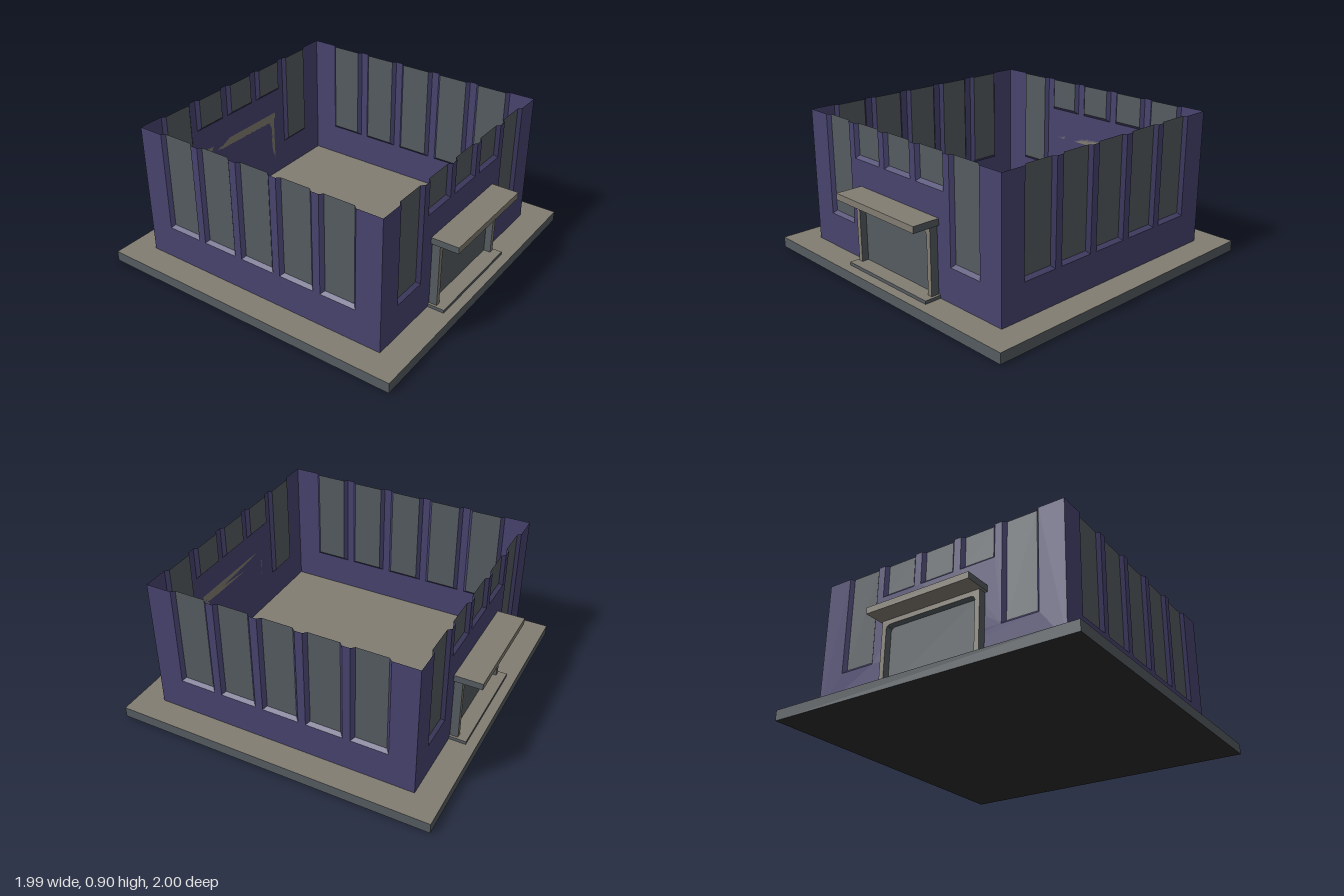
import * as THREE from 'three';

const mat = (name, color, side = THREE.FrontSide) => {
  const m = new THREE.MeshStandardMaterial({ color, side });
  m.name = name;
  return m;
};

export function createModel() {
  const blue = mat('blue wall', 0x48446f, THREE.DoubleSide);
  const grey = mat('grey panel', 0x555c61, THREE.DoubleSide);
  const tan = mat('tan stone', 0x827d72);
  const black = mat('dark underside', 0x2c2c2c);

  const HALF = 0.83, BASE = 0.065, TOP = 0.9, INSET = 0.02, WIN = 0.115;
  const centres = [-0.555, -0.2775, 0, 0.2775, 0.555];

  const add = (parent, name, geo, material, x = 0, y = 0, z = 0) => {
    const m = new THREE.Mesh(geo, material);
    m.name = name;
    m.position.set(x, y, z);
    parent.add(m);
    return m;
  };

  // Splayed left, bottom and right reveals of one window, open at the top
  const revealGeometry = (c, sill) => {
    const o = [[c - WIN, TOP], [c - WIN, sill], [c + WIN, sill], [c + WIN, TOP]];
    const w = WIN - INSET, s = sill + INSET;
    const n = [[c - w, TOP], [c - w, s], [c + w, s], [c + w, TOP]];
    const pos = [];
    for (let i = 0; i < 3; i++) {
      const a = [...o[i], 0], b = [...o[i + 1], 0];
      const d = [...n[i + 1], -INSET], e = [...n[i], -INSET];
      pos.push(...a, ...b, ...d, ...a, ...d, ...e);
    }
    const g = new THREE.BufferGeometry();
    g.setAttribute('position', new THREE.Float32BufferAttribute(pos, 3));
    g.computeVertexNormals();
    return g;
  };

  // One wall sheet with five notched windows; sills give each window's bottom
  const makeWall = (name, sills) => {
    const wall = new THREE.Group();
    wall.name = name;
    const s = new THREE.Shape();
    s.moveTo(-HALF, TOP);
    s.lineTo(-HALF, BASE);
    s.lineTo(HALF, BASE);
    s.lineTo(HALF, TOP);
    for (let i = 4; i >= 0; i--) {
      const c = centres[i];
      s.lineTo(c + WIN, TOP);
      s.lineTo(c + WIN, sills[i]);
      s.lineTo(c - WIN, sills[i]);
      s.lineTo(c - WIN, TOP);
    }
    s.closePath();
    add(wall, 'wallSheet', new THREE.ShapeGeometry(s), blue, 0, 0, HALF);
    centres.forEach((c, i) => {
      add(wall, 'windowReveal', revealGeometry(c, sills[i]), blue, 0, 0, HALF);
      const h = TOP - sills[i] - INSET;
      add(wall, 'windowPane', new THREE.PlaneGeometry(2 * (WIN - INSET), h), grey,
        c, TOP - h / 2, HALF - INSET);
    });
    return wall;
  };

  // Doorway: panel, surround with clipped corners, step and canopy
  const makeDoorway = () => {
    const door = new THREE.Group();
    door.name = 'doorway';
    add(door, 'doorPanel', new THREE.BoxGeometry(0.62, 0.385, 0.006), grey, 0, 0.2775, HALF + 0.004);

    const f = new THREE.Shape();
    const pts = [[-0.335, 0.085], [-0.305, 0.085], [-0.305, 0.435], [-0.298, 0.452], [-0.28, 0.46],
      [0.28, 0.46], [0.298, 0.452], [0.305, 0.435], [0.305, 0.085], [0.335, 0.085],
      [0.335, 0.49], [-0.335, 0.49]];
    f.setFromPoints(pts.map(p => new THREE.Vector2(...p)));
    add(door, 'doorSurround', new THREE.ExtrudeGeometry(f, { depth: 0.05, bevelEnabled: false }),
      [tan, grey], 0, 0, HALF);

    add(door, 'doorStep', new THREE.BoxGeometry(0.7, 0.02, 0.105),
      [grey, grey, tan, tan, grey, grey], 0, 0.075, HALF + 0.0525);
    add(door, 'canopy', new THREE.BoxGeometry(0.7, 0.04, 0.17),
      [grey, grey, tan, tan, tan, tan], 0, 0.51, HALF + 0.085);
    return door;
  };

  const model = new THREE.Group();
  model.name = 'building';

  // Base slab
  add(model, 'baseSlab', new THREE.BoxGeometry(1.99, BASE, 1.99),
    [grey, grey, tan, black, grey, grey], 0, BASE / 2, 0);

  // Front and back carry doors; the sides have tall windows only
  for (let i = 0; i < 4; i++) {
    const entrance = i % 2 === 0;
    const wall = makeWall(['frontWall', 'leftWall', 'backWall', 'rightWall'][i],
      entrance ? [0.275, 0.69, 0.69, 0.69, 0.275] : [0.275, 0.275, 0.275, 0.275, 0.275]);
    if (entrance) wall.add(makeDoorway());
    wall.rotation.y = i * Math.PI / 2;
    model.add(wall);
  }
  return model;
}
